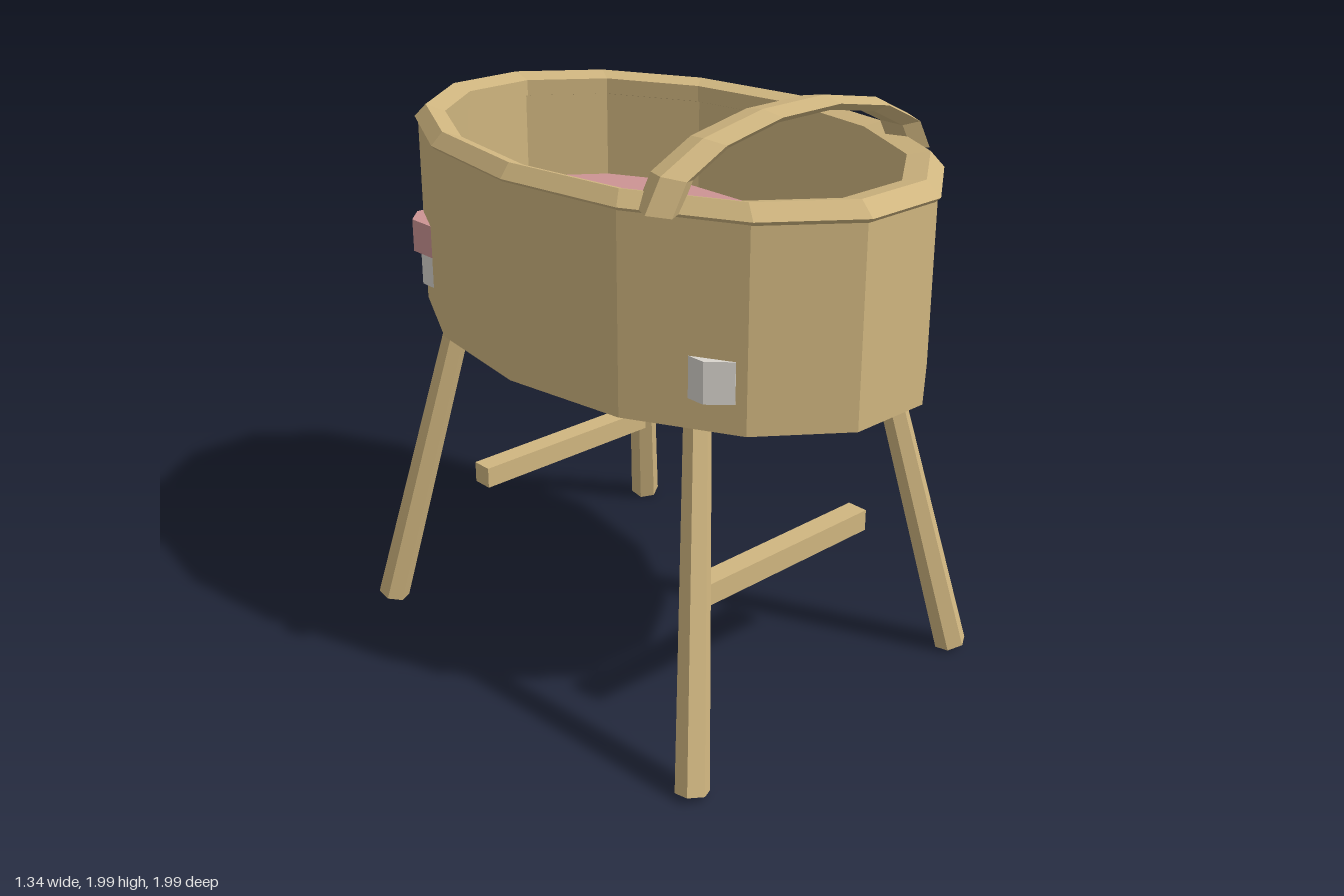
import * as THREE from 'three';

const STRETCH = 1.546; // oval length against width
const SIDES = 14;

export function createModel() {
  const model = new THREE.Group();
  model.name = 'bassinet';

  const paint = (name, color) => {
    const m = new THREE.MeshStandardMaterial({ color, flatShading: true, side: THREE.DoubleSide });
    m.name = name;
    return m;
  };
  const wood = paint('tan wood', 0xd0b680);
  const white = paint('off white', 0xd9d5ce);
  const pink = paint('dusty pink', 0xcc9494);

  const add = (name, geometry, material, x = 0, y = 0, z = 0) => {
    const mesh = new THREE.Mesh(geometry, material);
    mesh.name = name;
    mesh.position.set(x, y, z);
    model.add(mesh);
    return mesh;
  };

  // Basket: thick oval wall with a floor
  const profile = [[0, 1.13], [0.65, 1.13], [0.65, 1.775], [0.585, 1.775], [0.585, 1.18], [0, 1.18]]
    .map(([r, y]) => new THREE.Vector2(r, y));
  const basket = new THREE.LatheGeometry(profile, SIDES, Math.PI / 2);
  basket.scale(1, 1, STRETCH);
  add('basket', basket, wood);

  // Rim: five-sided ring around the top edge
  const rim = new THREE.TorusGeometry(0.609, 0.047, 5, SIDES);
  rim.rotateX(-Math.PI / 2);
  rim.scale(1, 1, STRETCH * 1.008);
  add('rim', rim, wood, 0, 1.775, 0);

  // Handle: flattened half ring across the front
  const handle = new THREE.TorusGeometry(0.535, 0.05, 5, 7, Math.PI);
  handle.scale(1, 0.39, 1.55);
  add('handle', handle, wood, 0, 1.775, 0.555);

  // Bedding: slabs with cut corners
  const slab = (halfX, z0, z1, height, cut) => {
    const s = new THREE.Shape([
      [-halfX + cut, z0], [halfX - cut, z0], [halfX, z0 + cut], [halfX, z1 - cut],
      [halfX - cut, z1], [-halfX + cut, z1], [-halfX, z1 - cut], [-halfX, z0 + cut],
    ].map(([x, z]) => new THREE.Vector2(x, -z)).reverse());
    const g = new THREE.ExtrudeGeometry(s, { depth: height, bevelEnabled: false });
    return g.rotateX(-Math.PI / 2);
  };
  add('mattress', slab(0.487, -0.755, 0.755, 0.132, 0.065), white, 0, 1.225, 0);
  add('blanket', slab(0.488, -0.797, 0.105, 0.112, 0.065), pink, 0, 1.332, 0);

  // Splayed legs, thicker at the foot
  const up = new THREE.Vector3(0, 1, 0);
  for (const sx of [-1, 1]) {
    for (const sz of [-1, 1]) {
      const foot = new THREE.Vector3(sx * 0.622, 0.017, sz * 0.8);
      const top = new THREE.Vector3(sx * 0.403, 1.16, sz * 0.581);
      const axis = top.clone().sub(foot);
      const mid = foot.clone().add(top).multiplyScalar(0.5);
      const leg = add('leg', new THREE.CylinderGeometry(0.043, 0.055, axis.length(), 6), wood, mid.x, mid.y, mid.z);
      leg.quaternion.setFromUnitVectors(up, axis.normalize());
    }
  }

  // Cross bars between the legs
  for (const z of [-0.557, 0.557]) {
    add('crossBar', new THREE.BoxGeometry(0.75, 0.075, 0.075), wood, 0, 0.506, z);
  }

  return model;
}
